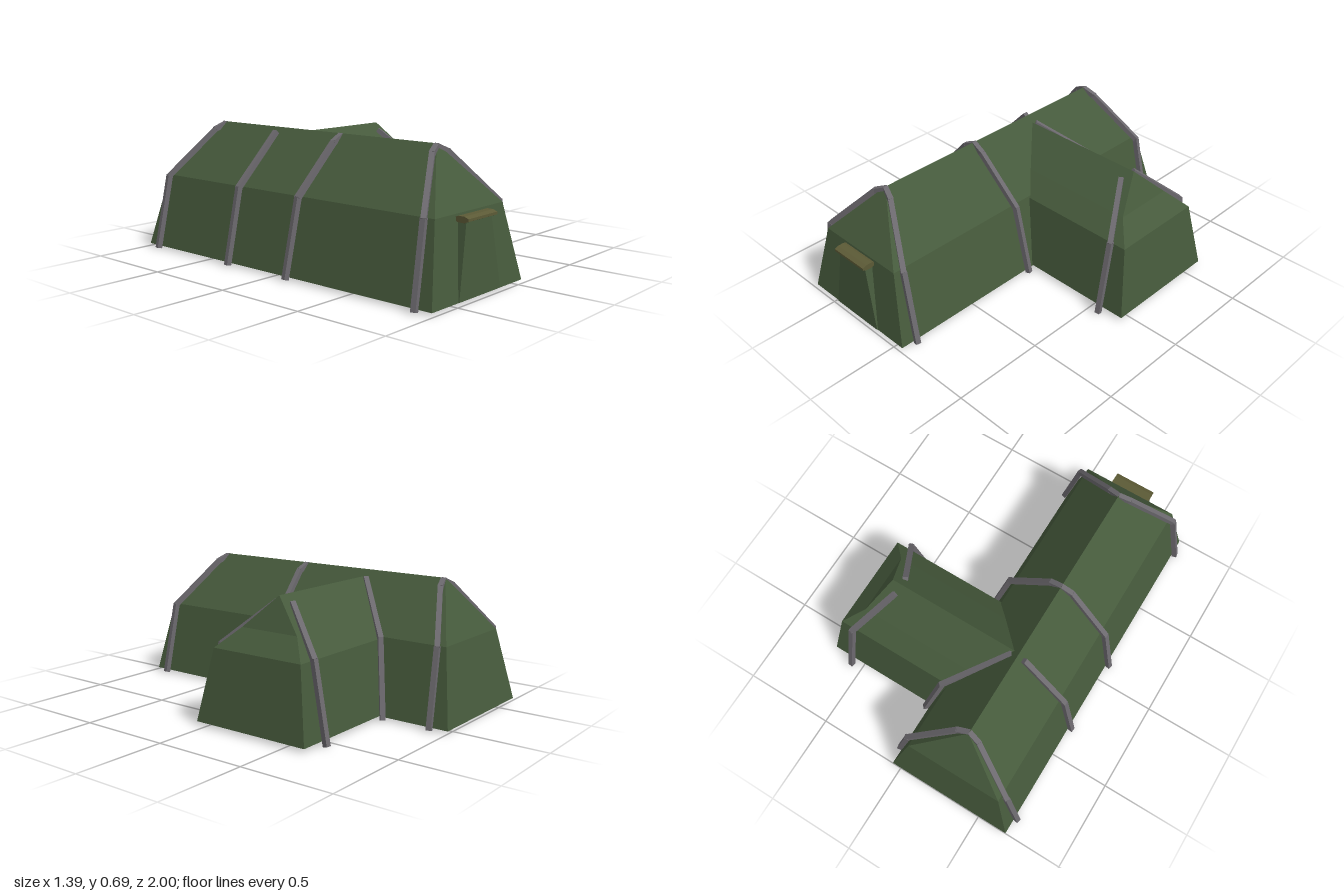
import * as THREE from 'three';

const canvas = new THREE.MeshStandardMaterial({ color: 0x465a3c, flatShading: true, side: THREE.DoubleSide });
const olive = new THREE.MeshStandardMaterial({ color: 0x5c5a36, flatShading: true });
const metal = new THREE.MeshStandardMaterial({ color: 0x6c696e, flatShading: true });

// Floorless shell from rows [half width, height, front end, back end], base to ridge.
function shell(name, rows, backClosed) {
  const pos = [];
  const quad = (a, b, c, d) => pos.push(...a, ...b, ...c, ...a, ...c, ...d);
  for (let i = 0; i < rows.length - 1; i++) {
    const [w, y, f, b] = rows[i];
    const [W, Y, F, B] = rows[i + 1];
    quad([w, y, f], [w, y, b], [W, Y, B], [W, Y, F]);
    quad([-w, y, b], [-w, y, f], [-W, Y, F], [-W, Y, B]);
    quad([-w, y, f], [w, y, f], [W, Y, F], [-W, Y, F]);
    if (backClosed) quad([w, y, b], [-w, y, b], [-W, Y, B], [W, Y, B]);
  }
  const geo = new THREE.BufferGeometry();
  geo.setAttribute('position', new THREE.Float32BufferAttribute(pos, 3));
  geo.computeVertexNormals();
  const mesh = new THREE.Mesh(geo, canvas);
  mesh.name = name;
  return mesh;
}

// Square bar running through a few points.
function pole(name, points) {
  const group = new THREE.Group();
  group.name = name;
  const pts = points.map((p) => new THREE.Vector3(...p));
  for (let i = 0; i < pts.length - 1; i++) {
    const length = pts[i].distanceTo(pts[i + 1]);
    const bar = new THREE.Mesh(new THREE.BoxGeometry(0.027, 0.027, length + 0.01), metal);
    bar.position.copy(pts[i]).lerp(pts[i + 1], 0.5);
    bar.lookAt(pts[i + 1]);
    bar.name = 'poleSegment';
    group.add(bar);
  }
  return group;
}

export function createModel() {
  const model = new THREE.Group();
  model.name = 'tent';
  const cx = -0.31;

  // Long main tent
  const main = shell('mainTent', [
    [0.36, 0.01, 0.985, -1],
    [0.268, 0.4, 0.925, -0.925],
    [0, 0.69, 0.73, -0.76],
  ], true);
  main.position.x = cx;
  model.add(main);

  // Side tent, its open inner end tucked under the main ridge
  const side = shell('sideTent', [
    [0.335, 0.015, 0.69, -0.3],
    [0.268, 0.39, 0.63, -0.3],
    [0.17, 0.49, 0.53, -0.3],
    [0, 0.655, 0.45, -0.3],
  ], false);
  side.rotation.y = Math.PI / 2;
  side.position.z = -0.28;
  model.add(side);

  // Main poles: [base z, shoulder z, upper z, ridge z]
  const hoops = [
    ['frontPole', 0.9, 0.885, 0.75, 0.73],
    ['middlePole', 0.1, 0.115, 0.135, 0.13],
    ['backPole', -0.905, -0.89, -0.765, -0.75],
  ];
  for (const [name, z0, z1, z2, z3] of hoops) {
    for (const s of [-1, 1]) {
      model.add(pole(name, [
        [cx + s * 0.375, 0.005, z0], [cx + s * 0.295, 0.4, z1],
        [cx + s * 0.06, 0.65, z2], [cx, 0.677, z3],
      ]));
    }
  }
  model.add(pole('rightPole', [
    [cx - 0.375, 0.005, -0.325], [cx - 0.295, 0.4, -0.315], [cx - 0.04, 0.665, -0.302],
  ]));

  // Pole along the valley between the two tents
  model.add(pole('valleyPole', [[0.07, 0.005, -0.64], [-0.012, 0.4, -0.565], [-0.27, 0.645, -0.3]]));

  // Pair of poles at the end of the side tent
  for (const s of [-1, 1]) {
    model.add(pole('sideTentPole', [
      [0.563, 0.005, -0.28 + s * 0.37], [0.55, 0.4, -0.28 + s * 0.285], [0.41, 0.615, -0.28 + s * 0.05],
    ]));
  }

  // Tapered door panel hanging in front of the sloping end wall
  const doorGeo = new THREE.BoxGeometry(1, 1, 1);
  const p = doorGeo.attributes.position;
  for (let i = 0; i < p.count; i++) {
    const top = p.getY(i) > 0;
    const front = p.getZ(i) > 0;
    const half = top ? 0.1 : 0.165;
    p.setXYZ(i, cx + Math.sign(p.getX(i)) * half, top ? 0.37 : 0.012,
      front ? (top ? 0.975 : 0.99) : (top ? 0.925 : 0.98));
  }
  doorGeo.computeVertexNormals();
  const door = new THREE.Mesh(doorGeo, canvas);
  door.name = 'door';
  model.add(door);

  // Flattened roll of cloth above the door
  const rollGeo = new THREE.CylinderGeometry(0.5, 0.5, 1, 8);
  rollGeo.rotateY(Math.PI / 8).rotateZ(Math.PI / 2).scale(0.23, 0.033, 0.085);
  const roll = new THREE.Mesh(rollGeo, olive);
  roll.name = 'doorRoll';
  roll.position.set(cx, 0.379, 0.957);
  model.add(roll);

  return model;
}
